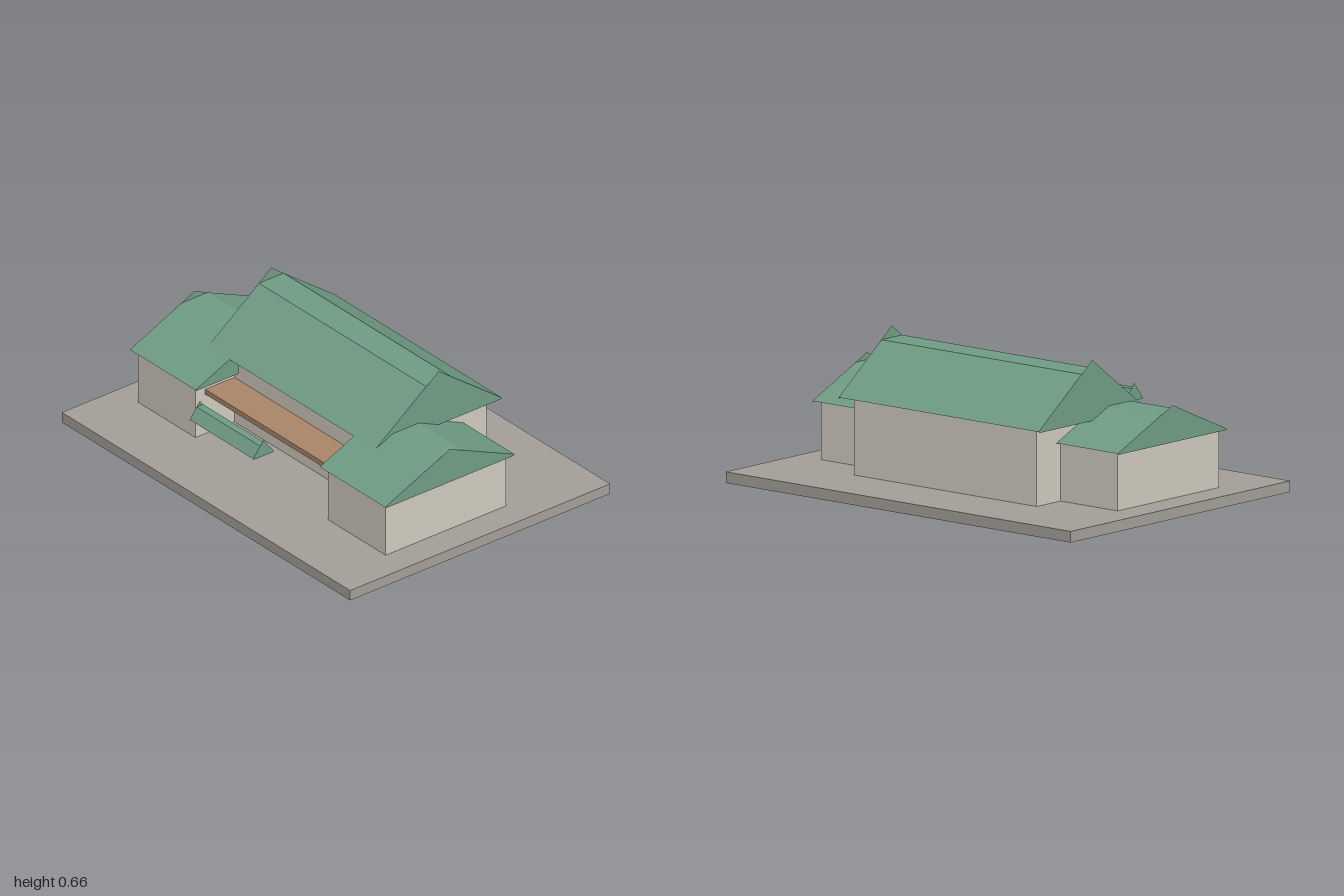
import * as THREE from 'three';

const mat = (name, color, side = THREE.FrontSide) => {
  const m = new THREE.MeshStandardMaterial({ color, side });
  m.name = name;
  return m;
};

export function createModel() {
  const group = new THREE.Group();
  const stone = mat('stone', 0xa49f98);
  const plaster = mat('plaster', 0xd0cabe);
  const timber = mat('timber', 0xa9866a);
  const tile = mat('greenTile', 0x709c84, THREE.DoubleSide);

  // Box given by its limits on each axis
  function block(name, material, [x0, x1], [y0, y1], [z0, z1]) {
    const mesh = new THREE.Mesh(new THREE.BoxGeometry(x1 - x0, y1 - y0, z1 - z0), material);
    mesh.position.set((x0 + x1) / 2, (y0 + y1) / 2, (z0 + z1) / 2);
    mesh.name = name;
    group.add(mesh);
  }

  const outline = (points) => new THREE.Shape(points.map(([z, y]) => new THREE.Vector2(z, y)));

  // Flat-topped roof running along x, with full pointed gables standing at both ends
  function roof(name, x, y, z, length, half, peak, flatHalf) {
    const part = new THREE.Group();
    part.name = name;
    part.position.set(x, y, z);
    const eave = 0.005;
    const flatY = peak * (1 - flatHalf / half);
    const body = new THREE.ExtrudeGeometry(
      outline([[-half, eave], [half, eave], [flatHalf, flatY], [-flatHalf, flatY]]),
      { depth: length, bevelEnabled: false }
    ).translate(0, 0, -length / 2).rotateY(-Math.PI / 2);
    const slopes = new THREE.Mesh(body, tile);
    slopes.name = 'roofSlopes';
    part.add(slopes);
    for (const side of [-1, 1]) {
      const gable = new THREE.Mesh(
        new THREE.ShapeGeometry(outline([[-half, 0], [half, 0], [0, peak]])).rotateY(side * Math.PI / 2),
        tile
      );
      gable.position.x = side * (length / 2 + 0.001);
      gable.name = 'gable';
      part.add(gable);
    }
    group.add(part);
  }

  // Plinth and central hall
  block('plinth', stone, [-1, 1], [0, 0.05], [-0.735, 0.735]);
  block('hallWalls', plaster, [-0.53, 0.53], [0.05, 0.396], [-0.42, 0.2]);
  roof('hallRoof', 0, 0.392, -0.107, 1.16, 0.358, 0.272, 0.07);

  // Side wings
  for (const s of [-1, 1]) {
    const xs = [s * 0.46, s * 0.86].sort((a, b) => a - b);
    block('wingWalls', plaster, xs, [0.05, 0.313], [-0.26, 0.42]);
    roof('wingRoof', s * 0.658, 0.308, 0.078, 0.455, 0.366, 0.167, 0.073);
  }

  // Porch beam between the wings and the small roof in front of it
  block('porchCanopy', timber, [-0.46, 0.46], [0.25, 0.275], [0.18, 0.365]);
  roof('gateRoof', 0, 0.328, 0.59, 0.44, 0.058, 0.08, 0.018);

  return group;
}
